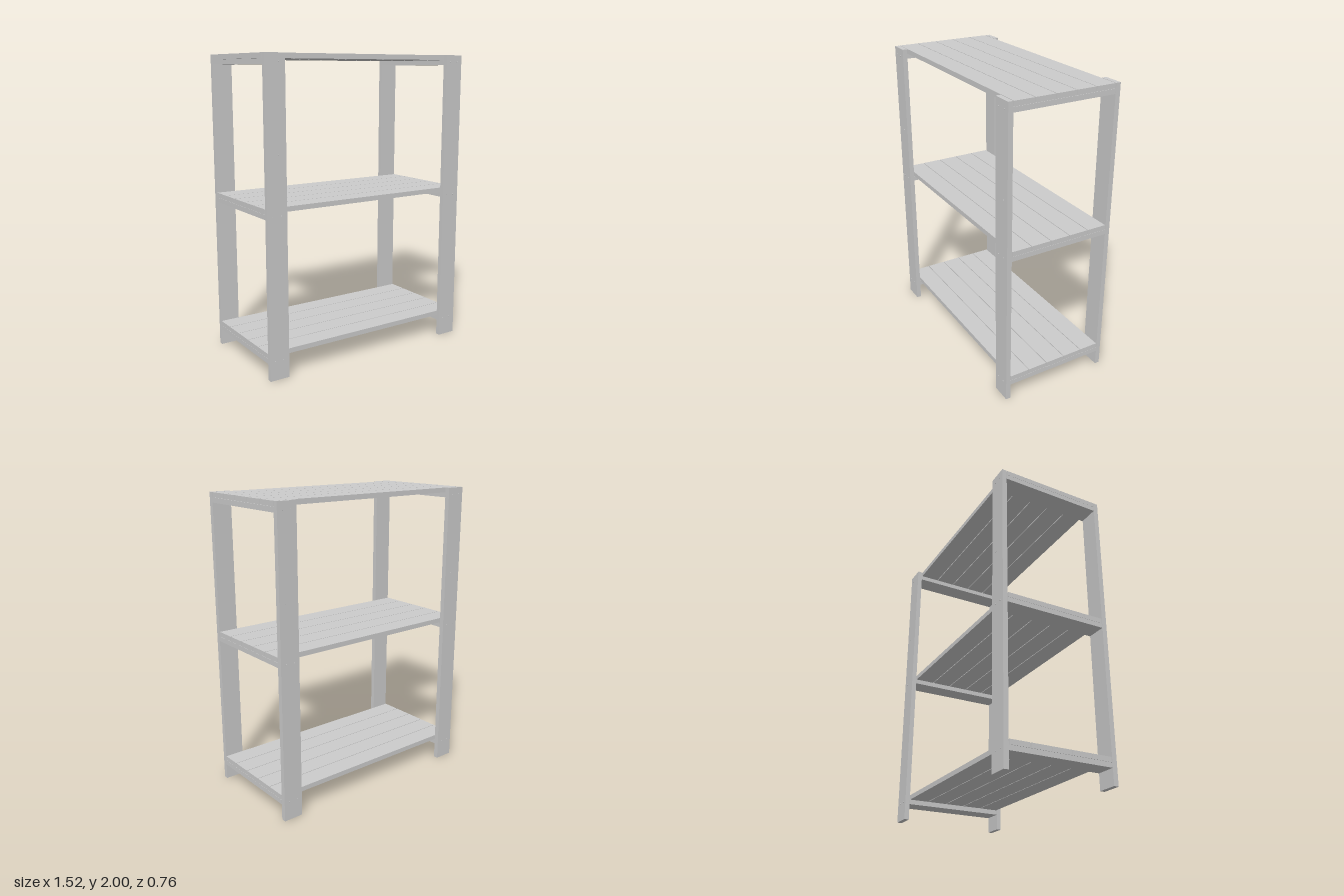
import * as THREE from 'three';

export function createModel() {
  const model = new THREE.Group();
  model.name = 'shelvingUnit';
  const material = new THREE.MeshStandardMaterial({ color: 0xcccccc });

  const add = (name, geometry, parent, x, y, z) => {
    const mesh = new THREE.Mesh(geometry, material);
    mesh.name = name;
    mesh.position.set(x, y, z);
    parent.add(mesh);
    return mesh;
  };

  const board = 0.133; // board width
  const thick = 0.032; // board thickness
  const length = 1.522; // slat length
  const pitch = 0.1375; // slat spacing, leaving a narrow gap
  const legX = (length - board) / 2;
  const legZ = 0.362;
  const shelfTops = [0.172, 1.086, 2];

  const legGeometry = new THREE.BoxGeometry(board, 2, thick);
  const slatGeometry = new THREE.BoxGeometry(length, thick, board);
  const cleatGeometry = new THREE.BoxGeometry(board, thick, 0.69);
  const screwGeometry = new THREE.CylinderGeometry(0.005, 0.005, 0.004, 12).rotateX(Math.PI / 2);

  // Shelves: five slats resting on a flat cleat at each end
  shelfTops.forEach((top) => {
    const shelf = new THREE.Group();
    shelf.name = 'shelf';
    model.add(shelf);
    for (let i = -2; i <= 2; i++) {
      add('slat', slatGeometry, shelf, 0, top - thick / 2, i * pitch);
    }
    for (const side of [-1, 1]) {
      add('cleat', cleatGeometry, shelf, side * legX, top - thick * 1.5 - 0.001, 0);
    }
  });

  // Four flat legs, with screw heads where the cleats are fixed
  for (const sx of [-1, 1]) {
    for (const sz of [-1, 1]) {
      const leg = new THREE.Group();
      leg.name = 'leg';
      leg.position.set(sx * legX, 0, sz * legZ);
      model.add(leg);
      add('legBoard', legGeometry, leg, 0, 1, 0);
      const screwZ = sz * (thick / 2 + 0.001);
      for (const top of shelfTops) {
        for (const dx of [-0.032, 0.028]) {
          add('screwHead', screwGeometry, leg, dx, top - thick * 1.5, screwZ);
        }
      }
      add('screwHead', screwGeometry, leg, 0.018, 1.41, screwZ);
    }
  }
  return model;
}
